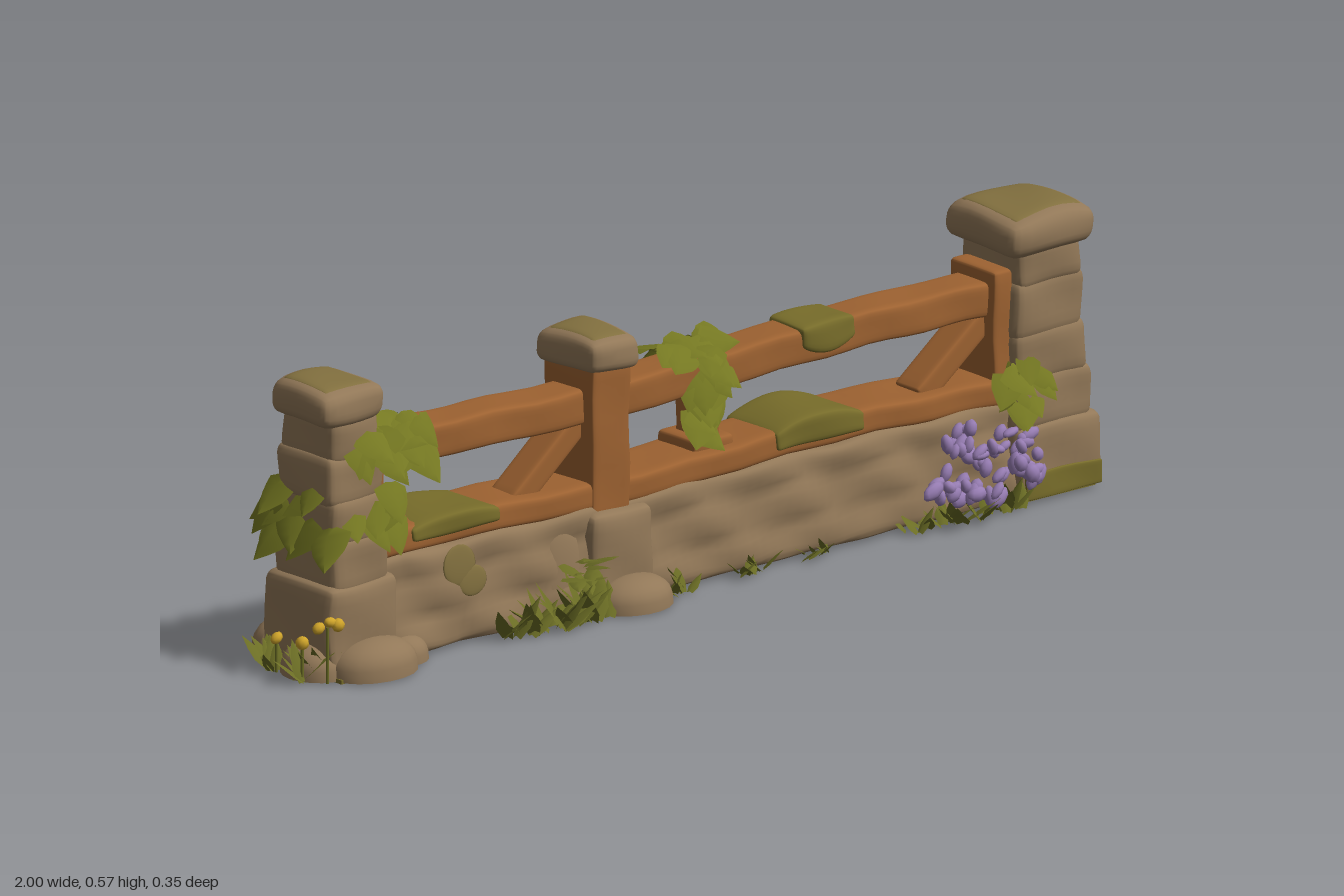
import * as THREE from 'three';
import { mergeVertices, mergeGeometries } from 'three/addons/utils/BufferGeometryUtils.js';

const mat = (name, color, side = THREE.FrontSide) => {
  const m = new THREE.MeshStandardMaterial({ color, side });
  m.name = name;
  return m;
};
const stone = mat('stone', 0x927858);
const mossyStone = mat('mossy stone', 0x82703f);
const wood = mat('wood', 0x9d6231);
const moss = mat('moss', 0x776c2a);
const leafGreen = mat('ivy leaf', 0x757822, THREE.DoubleSide);
const grassGreen = mat('grass', 0x6c6e25, THREE.DoubleSide);
const purple = mat('purple petal', 0x987eb4);
const yellow = mat('yellow petal', 0xcfa42a);

let seed = 7;
const rnd = (a = 0, b = 1) => {
  seed = (seed * 16807) % 2147483647;
  return a + (b - a) * seed / 2147483647;
};
const V = (x, y, z) => new THREE.Vector3(x, y, z);

// Rounded box spanning two corners, gently warped, smooth shaded
function softBox([x0, x1], [y0, y1], [z0, z1], r, amp = 0.003, bend = null, nx = 10, ny = 10) {
  const half = V((x1 - x0) / 2, (y1 - y0) / 2, (z1 - z0) / 2);
  const c = V((x0 + x1) / 2, (y0 + y1) / 2, (z0 + z1) / 2);
  const radius = Math.min(r, half.x, half.y, half.z);
  let g = new THREE.BoxGeometry(2, 2, 2, nx, ny, 10);
  g.deleteAttribute('uv');
  g.deleteAttribute('normal');
  g = mergeVertices(g);
  const inner = half.clone().subScalar(radius), outer = inner.clone().negate();
  const pos = g.attributes.position, p = V(0, 0, 0), q = V(0, 0, 0);
  for (let i = 0; i < pos.count; i++) {
    p.fromBufferAttribute(pos, i);
    p.set(Math.sin(p.x * Math.PI / 2), Math.sin(p.y * Math.PI / 2), Math.sin(p.z * Math.PI / 2)).multiply(half);
    q.copy(p).clamp(outer, inner);
    p.sub(q).setLength(radius).add(q).add(c);
    const { x, y, z } = p;
    p.x += amp * Math.sin(y * 31 + z * 23 + x * 7);
    p.y += y < 0.012 ? 0 : amp * Math.sin(x * 27 + z * 19 + 1);
    p.z += amp * Math.sin(x * 29 + y * 37 + 2);
    if (bend) bend(p);
    pos.setXYZ(i, p.x, Math.max(p.y, 0), p.z);
  }
  g.computeVertexNormals();
  return g;
}

// Folded, curled leaf from base along tip, facing normal
function leaf(base, tip, normal, len, width, curl, profile) {
  const rows = profile.length - 1;
  const g = new THREE.PlaneGeometry(2, 1, 2, rows);
  g.deleteAttribute('uv');
  const pos = g.attributes.position;
  for (let i = 0; i < pos.count; i++) {
    const t = pos.getY(i) + 0.5, u = pos.getX(i);
    const w = profile[Math.round(t * rows)] * width / 2;
    pos.setXYZ(i, u * w, t * len - Math.abs(u) * w * 0.25, -curl * len * t * t - Math.abs(u) * w * 0.3);
  }
  const y = tip.clone().normalize();
  const x = y.clone().cross(normal).normalize();
  g.applyMatrix4(new THREE.Matrix4().makeBasis(x, y, x.clone().cross(y)).setPosition(base));
  g.computeVertexNormals();
  return g;
}
const IVY = [0.3, 1, 0.95, 0.8, 0.45, 0.02], BLADE = [0.6, 1, 0.7, 0.02];

export function createModel() {
  const group = new THREE.Group();
  const add = (name, g, m) => {
    const mesh = new THREE.Mesh(Array.isArray(g) ? mergeGeometries(g) : g, m);
    mesh.name = name;
    group.add(mesh);
  };

  // Stacked stone pillars: y0, y1, x0, x1, z0, z1
  const pillar = (name, courses) => add(name, courses.map(([a, b, c, d, e, f]) =>
    softBox([c, d], [a < 0.01 ? a : a - 0.012, b + 0.012], [e, f], 0.024, 0.0025)), stone);
  pillar('rightPillar', [
    [0.006, 0.14, 0.785, 0.995, -0.115, 0.09], [0.145, 0.235, 0.785, 0.977, -0.108, 0.081],
    [0.235, 0.325, 0.79, 0.968, -0.105, 0.078], [0.325, 0.425, 0.79, 0.96, -0.101, 0.076],
    [0.425, 0.5, 0.795, 0.955, -0.098, 0.077]]);
  pillar('leftPillar', [
    [0.006, 0.17, -0.915, -0.74, -0.12, 0.085], [0.17, 0.26, -0.9, -0.755, -0.105, 0.075],
    [0.26, 0.34, -0.895, -0.755, -0.1, 0.07], [0.34, 0.42, -0.9, -0.76, -0.098, 0.066],
    [0.42, 0.5, -0.893, -0.765, -0.092, 0.062]]);
  pillar('postFooting', [[0.006, 0.18, -0.262, -0.105, -0.112, 0.082]]);

  // Domed cap stones with mossy tops
  for (const [name, x, y, z, r] of [
    ['rightCap', [0.762, 0.975], [0.485, 0.56], [-0.118, 0.1], 0.032],
    ['leftCap', [-0.918, -0.757], [0.488, 0.553], [-0.102, 0.072], 0.028],
    ['postCap', [-0.257, -0.13], [0.46, 0.518], [-0.1, 0.07], 0.022]]) {
    const cx = (x[0] + x[1]) / 2, cz = (z[0] + z[1]) / 2;
    const dome = lift => p => {
      const k = 1 - ((p.x - cx) / 0.12) ** 2 - ((p.z - cz) / 0.13) ** 2;
      if (p.y > (y[0] + y[1]) / 2) p.y += 0.013 * Math.max(k, 0) + lift;
    };
    add(name, softBox(x, y, z, r, 0.0025, dome(0)), stone);
    const s = r * 0.75;
    add(name + 'Moss', softBox([x[0] + s, x[1] - s], [y[1] - 0.02, y[1]], [z[0] + s, z[1] - s], 0.01, 0.0025, dome(0.0015)), mossyStone);
  }

  // Low wall, its faces swelling into large worn stones that flare at the foot
  const swell = p => {
    const row = Math.floor(p.y / 0.075), u = p.x / (0.19 + 0.03 * row) + row * 0.43 + 20;
    const dome = Math.sqrt(Math.sin(Math.PI * (u % 1)) * Math.sin(Math.PI * ((p.y / 0.075) % 1)));
    const side = p.z > -0.016 ? 1 : -1;
    p.z += side * (0.009 * dome + 0.014 * Math.max(0, 1 - p.y / 0.2));
  };
  add('stoneWall', softBox([-0.78, 0.8], [0.004, 0.205], [-0.086, 0.054], 0.02, 0.004, swell, 100, 22), stone);

  // Boulders at the feet of the left pillar and the middle post
  const boulder = (x, z, w, h, d) => {
    const g = new THREE.SphereGeometry(1, 18, 8, 0, Math.PI * 2, 0, Math.PI / 2);
    g.deleteAttribute('uv');
    const p = g.attributes.position;
    for (let i = 0; i < p.count; i++) p.setY(i, Math.pow(Math.max(p.getY(i), 0), 0.7));
    g.scale(w, h, d).translate(x, 0.003, z);
    g.computeVertexNormals();
    return g;
  };
  add('boulders', [
    boulder(-0.845, -0.115, 0.075, 0.07, 0.068), boulder(-0.81, 0.085, 0.095, 0.068, 0.07),
    boulder(-0.72, 0.06, 0.055, 0.05, 0.05), boulder(-0.9, 0.02, 0.06, 0.06, 0.07),
    boulder(-0.15, -0.11, 0.1, 0.065, 0.075), boulder(-0.17, 0.085, 0.085, 0.06, 0.068),
    boulder(-0.32, 0.045, 0.065, 0.185, 0.028)], stone);

  // Mossy undersides of the pillars and footing
  for (const [x, z, w, d] of [[0.89, -0.012, 0.18, 0.18], [-0.835, -0.015, 0.14, 0.24], [-0.17, -0.015, 0.12, 0.26]])
    add('mossyUnderside', new THREE.BoxGeometry(w, 0.008, d).translate(x, 0.005, z), moss);

  // Wavy wooden rails
  const upper = p => { p.y += 0.006 * Math.cos((p.x + 0.75) * 5) - 0.003; };
  const lower = p => { p.y += 0.006 * Math.sin((p.x + 0.85) * 6.5); };
  add('upperRail', softBox([-0.79, 0.79], [0.365, 0.434], [-0.062, 0.034], 0.012, 0.002, upper, 40), wood);
  add('lowerRail', softBox([-0.79, 0.79], [0.198, 0.25], [-0.088, 0.056], 0.012, 0.002, lower, 40), wood);

  // Upright posts
  for (const [name, x, y, z] of [
    ['middlePost', [-0.245, -0.15], [0.17, 0.475], [-0.085, 0.06]],
    ['rightPost', [0.752, 0.8], [0.19, 0.458], [-0.078, 0.052]],
    ['leftPost', [-0.79, -0.745], [0.19, 0.44], [-0.07, 0.045]],
    ['shortPost', [0.055, 0.105], [0.23, 0.39], [-0.06, 0.02]],
    ['shortPostBlock', [0.03, 0.13], [0.235, 0.268], [-0.08, 0.03]]])
    add(name, softBox(x, y, z, 0.01, 0.0015), wood);

  // Diagonal braces
  for (const [x0, y0, x1, y1] of [[-0.77, 0.345, -0.67, 0.225], [-0.4, 0.23, -0.225, 0.375], [0.6, 0.235, 0.775, 0.37]]) {
    const len = Math.hypot(x1 - x0, y1 - y0);
    const g = softBox([-len / 2, len / 2], [0, 0.048], [-0.045, 0.025], 0.008, 0);
    g.translate(0, -0.024, 0).rotateZ(Math.atan2(y1 - y0, x1 - x0)).translate((x0 + x1) / 2, (y0 + y1) / 2, 0);
    add('brace', g, wood);
  }

  // Moss pads draped over the rails
  const pad = (x0, x1, y0, y1, z0, z1, rise) => softBox([x0, x1], [y0, y1], [z0, z1], 0.012, 0.002, p => {
    const u = (p.x - (x0 + x1) / 2) / ((x1 - x0) / 2);
    p.y = y1 + (p.y - y1) * (1 - 0.4 * u * u) + rise * (1 - u * u);
  }, 16);
  add('upperRailMoss', pad(0.29, 0.425, 0.375, 0.44, -0.068, 0.041, 0.006), moss);
  add('lowerRailMoss', [
    pad(0.21, 0.43, 0.192, 0.252, -0.094, 0.063, 0.027),
    pad(-0.69, -0.47, 0.205, 0.25, -0.094, 0.063, 0.017)], moss);

  // Faint moss on the wall face and pillar foot
  const patch = (x, y, z, w, h, tilt) => new THREE.SphereGeometry(1, 16, 10).scale(w, h, 0.0045).rotateX(tilt).translate(x, y, z);
  add('wallMoss', [patch(-0.58, 0.16, 0.065, 0.04, 0.04, -0.08), patch(-0.55, 0.125, 0.068, 0.035, 0.03, -0.08)], mossyStone);
  add('pillarFootMoss', softBox([0.795, 0.985], [0.008, 0.058], [0.086, 0.0945], 0.004, 0.002), moss);

  // Ivy: leaves fan from a patch of surface, out and down
  const ivy = (name, n, spread, out, size, drop = 1) => {
    const list = [];
    for (let i = 0; i < n; i++) {
      const side = V(out.z, 0, -out.x).multiplyScalar(rnd(-0.8, 0.8));
      const tip = V(0, -drop, 0).add(side).addScaledVector(out, rnd(0.35, 0.85));
      const normal = out.clone().add(V(rnd(-0.2, 0.2), 1, 0));
      const len = size * rnd(0.8, 1.2);
      list.push(leaf(spread(i / (n - 1)), tip, normal, len, len * 0.95, rnd(0, 0.2), IVY));
    }
    add(name, list, leafGreen);
  };
  const front = V(0, 0, 1), back = V(0, 0, -1), outer = V(-1, 0, 0);
  ivy('railIvyFront', 17, t => V(0.045 + rnd(-0.065, 0.065) * (1 - t * 0.75), 0.45 - t * 0.13, rnd(0.03, 0.04)), front, 0.075);
  ivy('railIvyBack', 6, t => V(0.045 + rnd(-0.06, 0.06), 0.445 - t * 0.03, -0.06), back, 0.055);
  ivy('railIvyTop', 10, t => V(0.045 + rnd(-0.05, 0.05), rnd(0.45, 0.462), -0.05 + t * 0.07), front, 0.075, 0.15);
  ivy('railIvyTopBack', 6, t => V(-0.01 + t * 0.11, rnd(0.445, 0.455), rnd(-0.04, -0.01)), back, 0.065, 0.15);
  ivy('leftIvyFront', 14, t => V(-0.82 + t * 0.15, rnd(0.43, 0.475), rnd(0.045, 0.062)), front, 0.085);
  ivy('leftIvyLow', 7, t => V(-0.8 + rnd(-0.05, 0.06), 0.36 - t * 0.06, 0.07), front, 0.075);
  ivy('leftIvySide', 10, t => V(-0.895, 0.375 - t * 0.09, -0.1 + rnd(0, 0.16)), outer, 0.085, 0.8);
  ivy('leftIvyBack', 10, t => V(-0.85 + rnd(-0.06, 0.08), 0.37 - t * 0.12, -0.1), back, 0.08);
  ivy('leftIvyRail', 9, t => V(-0.755 + t * 0.1, rnd(0.44, 0.465), rnd(-0.05, 0.02)), front, 0.08, 0.15);
  ivy('leftIvyRailBack', 6, t => V(-0.75 + t * 0.08, rnd(0.43, 0.45), -0.05), back, 0.065, 0.5);
  ivy('rightIvyFront', 9, t => V(0.815 + rnd(-0.045, 0.035), 0.285 - t * 0.08, rnd(0.07, 0.08)), front, 0.065);
  ivy('rightIvyInner', 5, t => V(0.78, 0.28 - t * 0.06, rnd(0.03, 0.065)), outer, 0.05);
  ivy('rightIvyBack', 8, t => V(0.79 + rnd(-0.04, 0.03), 0.29 - t * 0.09, -0.1), back, 0.065);

  // Ground plants: x, z, spread, height, count
  const grass = [];
  for (const [x, z, s, h, n] of [
    [-0.42, 0.1, 0.07, 0.08, 18], [-0.31, 0.11, 0.06, 0.1, 20], [-0.93, 0.05, 0.03, 0.08, 14],
    [-0.94, -0.05, 0.03, 0.07, 9], [-0.07, 0.09, 0.03, 0.06, 8], [0.12, 0.08, 0.05, 0.055, 9],
    [0.27, 0.08, 0.05, 0.05, 8], [0.57, 0.09, 0.06, 0.06, 14], [0.7, 0.1, 0.08, 0.07, 18],
    [-0.38, -0.115, 0.08, 0.08, 18], [-0.29, -0.13, 0.04, 0.075, 10], [0.26, -0.1, 0.06, 0.055, 9],
    [0.78, -0.115, 0.03, 0.06, 7], [-0.04, -0.12, 0.03, 0.06, 7]]) {
    for (let i = 0; i < n; i++) {
      const a = rnd(0, Math.PI * 2), dir = V(Math.cos(a), 0, Math.sin(a) * 0.7);
      const base = V(x + rnd(-s, s), 0.006, z + rnd(-0.015, 0.015));
      const len = h * rnd(0.7, 1.1);
      grass.push(leaf(base, dir.clone().multiplyScalar(rnd(0.4, 1.4)).add(V(0, 1, 0)), V(0, 1, 0).sub(dir), len, len * 0.45, 0.15, BLADE));
    }
  }
  // Taller sprig leaning on the wall by the post
  for (let i = 0; i < 12; i++)
    grass.push(leaf(V(-0.32 + rnd(-0.05, 0.05), rnd(0.07, 0.12), rnd(0.07, 0.1)),
      V(rnd(-1, 1), rnd(-0.2, 0.6), 0.8), V(0, 1, -0.2), 0.06, 0.035, 0.2, BLADE));
  add('groundPlants', grass, grassGreen);

  // Blossoms: purple sprays of lumpy petals and a few yellow heads
  const blob = (x, y, z, r, long = 1) => new THREE.SphereGeometry(r, 8, 6)
    .scale(long, rnd(0.7, 1.1), rnd(0.7, 1)).rotateZ(rnd(-1.5, 1.5)).translate(x, y, z);
  const petals = [];
  for (const [x, y, z, s] of [
    [0.58, 0.085, 0.095, 0.03], [0.625, 0.14, 0.09, 0.032], [0.65, 0.165, 0.085, 0.025], [0.64, 0.075, 0.11, 0.03],
    [0.685, 0.12, 0.11, 0.035], [0.7, 0.065, 0.12, 0.028], [0.74, 0.14, 0.095, 0.03], [0.75, 0.085, 0.115, 0.03],
    [0.79, 0.12, 0.1, 0.028], [0.8, 0.07, 0.11, 0.025]])
    for (let i = 0; i < 7; i++)
      petals.push(blob(x + rnd(-s, s), y + rnd(-s, s) * 0.8, z + rnd(-0.015, 0.018), rnd(0.011, 0.015), rnd(1.2, 1.8)));
  add('purpleBlossoms', petals, purple);
  add('yellowBlossoms', [[-0.92, 0.123, 0.09], [-0.94, 0.113, 0.08], [-0.905, 0.116, 0.095], [-0.955, 0.08, 0.05], [-0.95, 0.07, -0.03]]
    .map(([x, y, z]) => blob(x, y, z, 0.014)), yellow);
  add('flowerStems', [[-0.925, 0.088, 0.11], [-0.955, 0.05, 0.075], [-0.95, -0.03, 0.065]].map(([x, z, h]) =>
    new THREE.CylinderGeometry(0.003, 0.003, h, 6).translate(x, h / 2 + 0.003, z)), grassGreen);

  return group;
}
